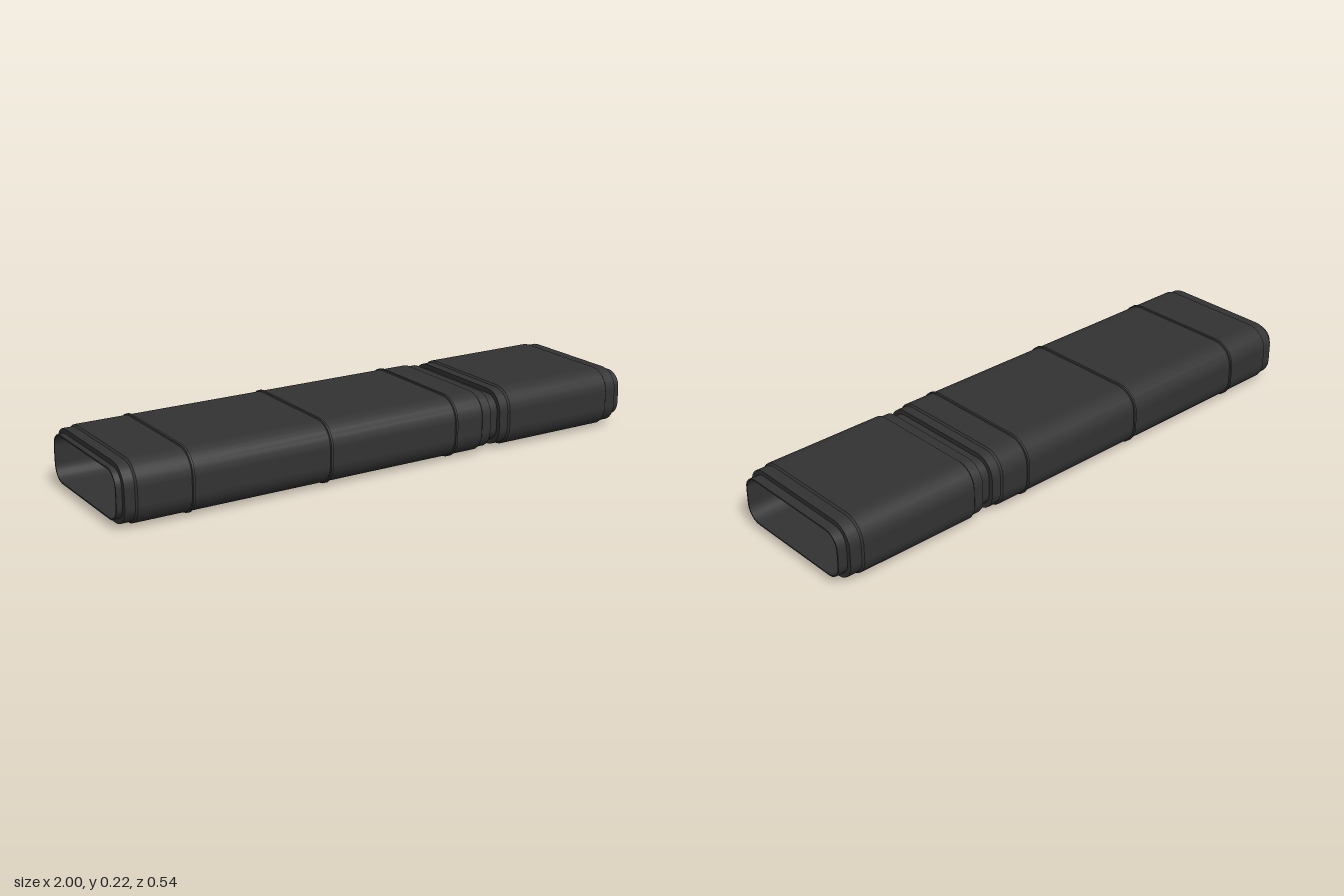
import * as THREE from 'three';

const CORNER_STEPS = 6;
const INNER_RADIUS = 0.05, CORNER_Y = 0.029, CORNER_Z = 0.186, MID_Y = 0.111;

// Wall offsets from the hollow inside, and bevel size
const RIM = 0.005, SHOULDER = 0.0215, BODY = 0.0275, RIB = 0.032, BEVEL = 0.006;

// Points of the rounded-rectangle cross-section: corner centre plus outward direction
function sectionPoints() {
  const points = [];
  for (let q = 0; q < 4; q++) {
    const sy = q === 0 || q === 3 ? 1 : -1;
    const sz = q < 2 ? 1 : -1;
    for (let i = 0; i <= CORNER_STEPS; i++) {
      const a = (q + i / CORNER_STEPS) * Math.PI / 2;
      points.push({ y: sy * CORNER_Y, z: sz * CORNER_Z, dy: Math.cos(a), dz: Math.sin(a) });
    }
  }
  return points;
}

// Sweeps a profile of [x, offset] around the section: smooth around, sharp along x
function sweep(name, profile, material, closed = true) {
  const section = sectionPoints();
  const n = section.length;
  const positions = [], normals = [], indices = [];
  const bands = closed ? profile.length : profile.length - 1;
  for (let b = 0; b < bands; b++) {
    const ends = [profile[b], profile[(b + 1) % profile.length]];
    const dx = ends[1][0] - ends[0][0], dr = ends[1][1] - ends[0][1];
    const len = Math.hypot(dx, dr);
    const base = positions.length / 3;
    for (const [x, offset] of ends) {
      const r = INNER_RADIUS + offset;
      for (const s of section) {
        positions.push(x, MID_Y + s.y + s.dy * r, s.z + s.dz * r);
        normals.push(-dr / len, s.dy * dx / len, s.dz * dx / len);
      }
    }
    for (let i = 0; i < n; i++) {
      const p = base + i, q = base + (i + 1) % n;
      indices.push(p, q, p + n, q, q + n, p + n);
    }
  }
  const geometry = new THREE.BufferGeometry();
  geometry.setAttribute('position', new THREE.Float32BufferAttribute(positions, 3));
  geometry.setAttribute('normal', new THREE.Float32BufferAttribute(normals, 3));
  geometry.setIndex(indices);
  const mesh = new THREE.Mesh(geometry, material);
  mesh.name = name;
  return mesh;
}

// Stepped outside of one sleeve: shoulder, bevel, main wall, bevel, shoulder
function steppedWall(x0, x1, x2, x3) {
  return [
    [x0, SHOULDER], [x1, SHOULDER], [x1 + BEVEL, BODY],
    [x2 - BEVEL, BODY], [x2, SHOULDER], [x3, SHOULDER],
  ];
}

export function createModel() {
  const group = new THREE.Group();
  group.name = 'hollowSleeve';
  const material = new THREE.MeshStandardMaterial({ color: 0x333333, side: THREE.DoubleSide });

  // Long sleeve with an end rim and the narrow neck that meets the short sleeve
  group.add(sweep('longSleeve', [
    [-1, 0], [-1, RIM], [-0.98, RIM],
    ...steppedWall(-0.98, -0.945, 0.365, 0.4),
    [0.4, RIM], [0.44, RIM], [0.44, 0],
  ], material));

  // Short sleeve with its end rim
  group.add(sweep('shortSleeve', [
    [0.44, 0],
    ...steppedWall(0.44, 0.475, 0.925, 0.967),
    [0.967, RIM], [1, RIM], [1, 0],
  ], material));

  // Thin raised ribs around the long sleeve
  for (const x of [-0.75, -0.25, 0.25]) {
    group.add(sweep('rib', [
      [x - 0.006, BODY - 0.001], [x - 0.004, RIB], [x + 0.004, RIB], [x + 0.006, BODY - 0.001],
    ], material, false));
  }

  return group;
}
